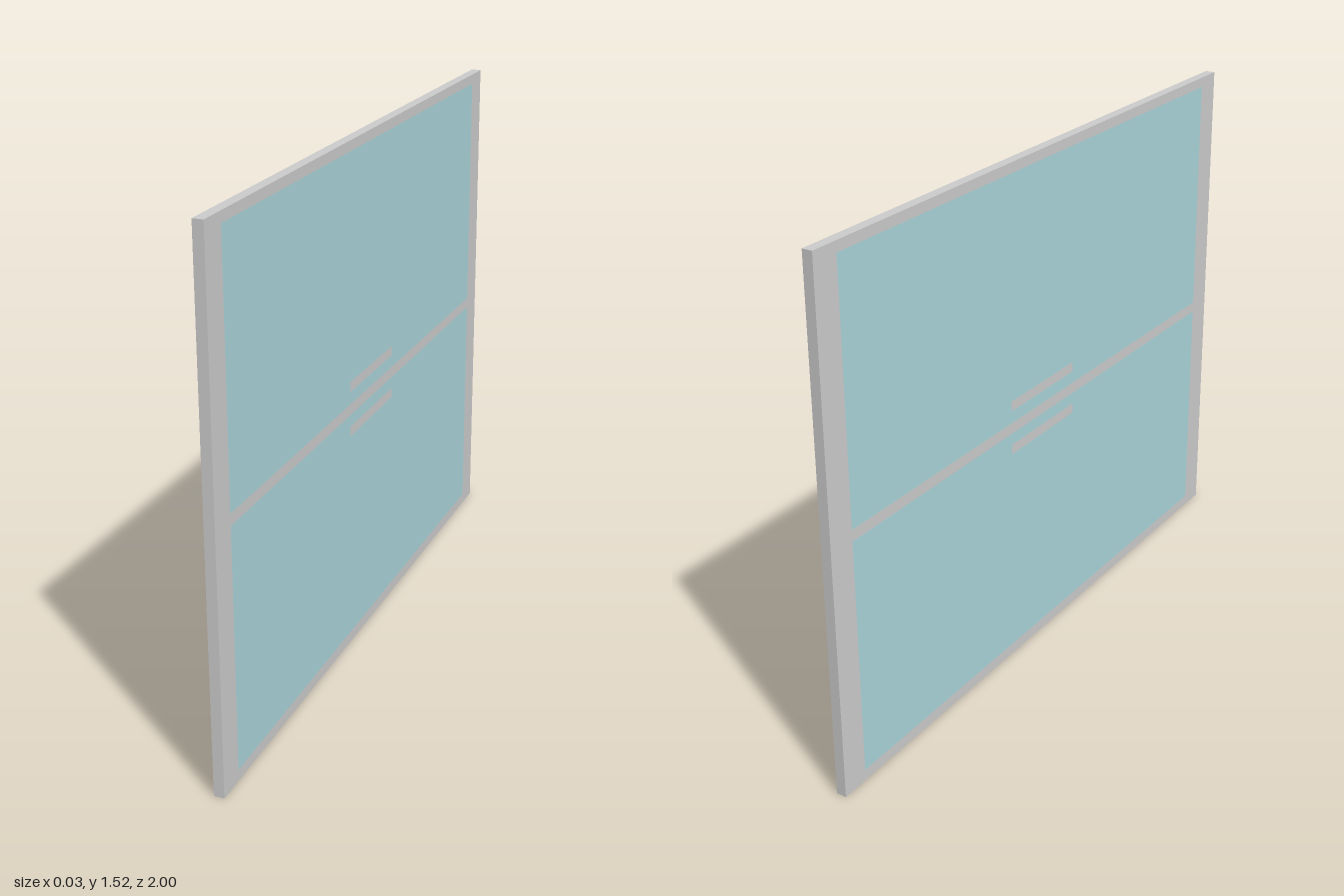
import * as THREE from 'three';

const DEPTH = 0.03;

// Rectangle outline [z0, z1, y0, y1] traced in the panel plane (shape x = -z)
function trace(path, [z0, z1, y0, y1]) {
  path.moveTo(-z1, y0);
  path.lineTo(-z0, y0);
  path.lineTo(-z0, y1);
  path.lineTo(-z1, y1);
  path.closePath();
  return path;
}

// Flat slab with rectangular openings, standing across the x axis
function slab(name, rect, openings, material) {
  const shape = trace(new THREE.Shape(), rect);
  shape.holes = openings.map((o) => trace(new THREE.Path(), o));
  const geometry = new THREE.ExtrudeGeometry(shape, { depth: DEPTH, bevelEnabled: false });
  geometry.translate(0, 0, -DEPTH / 2);
  geometry.rotateY(Math.PI / 2);
  const mesh = new THREE.Mesh(geometry, material);
  mesh.name = name;
  return mesh;
}

export function createModel() {
  const group = new THREE.Group();
  group.name = 'slidingWindow';
  const grey = new THREE.MeshStandardMaterial({ color: 0xcccccc });
  const glass = new THREE.MeshStandardMaterial({ color: 0xaad4da });

  const panes = [
    { name: 'lower', rect: [-0.915, 0.915, 0.033, 0.73], bar: [-0.19, 0.14, 0.665, 0.695] },
    { name: 'upper', rect: [-0.915, 0.915, 0.763, 1.49], bar: [-0.19, 0.14, 0.8, 0.83] },
  ];

  // Outer frame with the middle rail between the two panes
  group.add(slab('frame', [-1, 1, 0, 1.52], panes.map((p) => p.rect), grey));

  // Flush panes, each with an inset grip bar near the middle rail
  for (const { name, rect, bar } of panes) {
    group.add(slab(name + 'Pane', rect, [bar], glass));
    group.add(slab(name + 'GripBar', bar, [], grey));
  }
  return group;
}
